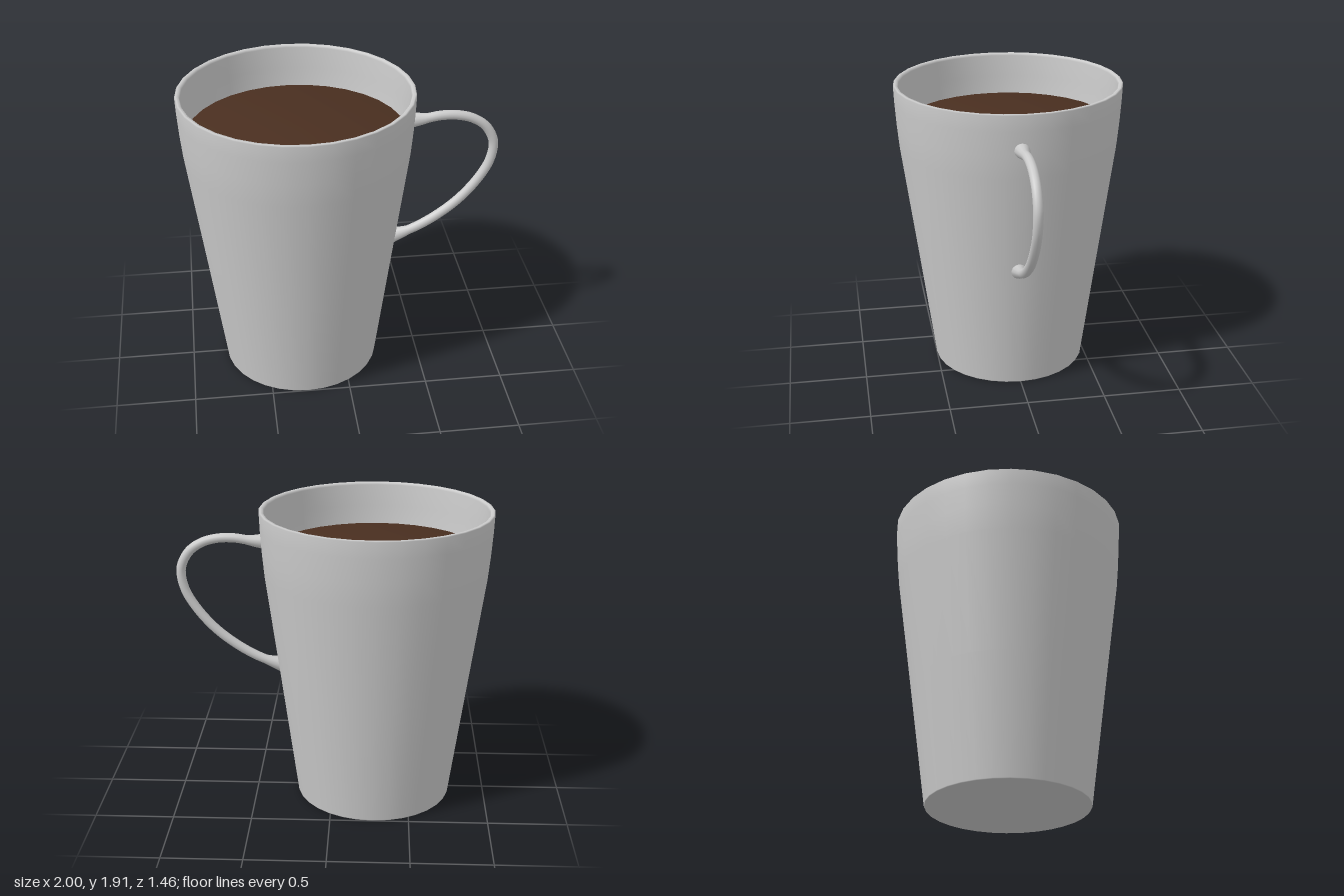
import * as THREE from 'three';

const v2 = ([x, y]) => new THREE.Vector2(x, y);

export function createModel() {
  const model = new THREE.Group();
  model.name = 'mug';
  const ceramic = new THREE.MeshStandardMaterial({ color: 0xcccccc, side: THREE.DoubleSide });
  const coffee = new THREE.MeshStandardMaterial({ color: 0x4a2f20 });
  const mugX = -0.27;

  const add = (name, geometry, material, x = 0) => {
    const mesh = new THREE.Mesh(geometry, material);
    mesh.name = name;
    mesh.position.x = x;
    model.add(mesh);
  };

  // Tapered cup: outer wall, rim, inner wall and floor in one profile
  const cup = [
    [0, 0], [0.497, 0], [0.5, 0.006], [0.6, 0.75], [0.702, 1.5], [0.716, 1.65], [0.726, 1.8],
    [0.73, 1.9], [0.722, 1.906], [0.705, 1.904], [0.698, 1.89], [0.69, 1.75], [0.675, 1.55],
    [0.57, 0.75], [0.475, 0.06], [0, 0.06],
  ];
  add('cup', new THREE.LatheGeometry(cup.map(v2), 32), ceramic, mugX);

  // Drink filling the cup, softly shaded over its edge
  const drink = [[0.665, 1.5], [0.682, 1.63], [0, 1.63]];
  add('drink', new THREE.LatheGeometry(drink.map(v2), 32), coffee, mugX);

  // Handle: a tube along a curve, flared where it meets the cup
  const path = new THREE.CatmullRomCurve3([
    [0.42, 1.68], [0.52, 1.685], [0.62, 1.7], [0.72, 1.698], [0.82, 1.672], [0.91, 1.61],
    [0.965, 1.5], [0.95, 1.37], [0.885, 1.245], [0.76, 1.095], [0.6, 0.97], [0.45, 0.89], [0.32, 0.85],
  ].map(([x, y]) => new THREE.Vector3(x, y, 0.03)));
  const steps = 64, sides = 12;
  const handle = new THREE.TubeGeometry(path, steps, 0.03, sides);
  const pos = handle.attributes.position;
  const p = new THREE.Vector3();
  for (let i = 0; i <= steps; i++) {
    const t = i / steps;
    const centre = path.getPointAt(t);
    const flare = 1 + 0.75 * Math.max(0, 1 - Math.min(t, 1 - t) / 0.075);
    for (let j = 0; j <= sides; j++) {
      const k = i * (sides + 1) + j;
      p.fromBufferAttribute(pos, k).sub(centre).multiplyScalar(flare).add(centre);
      pos.setXYZ(k, p.x, p.y, p.z);
    }
  }
  add('handle', handle, ceramic);

  return model;
}
